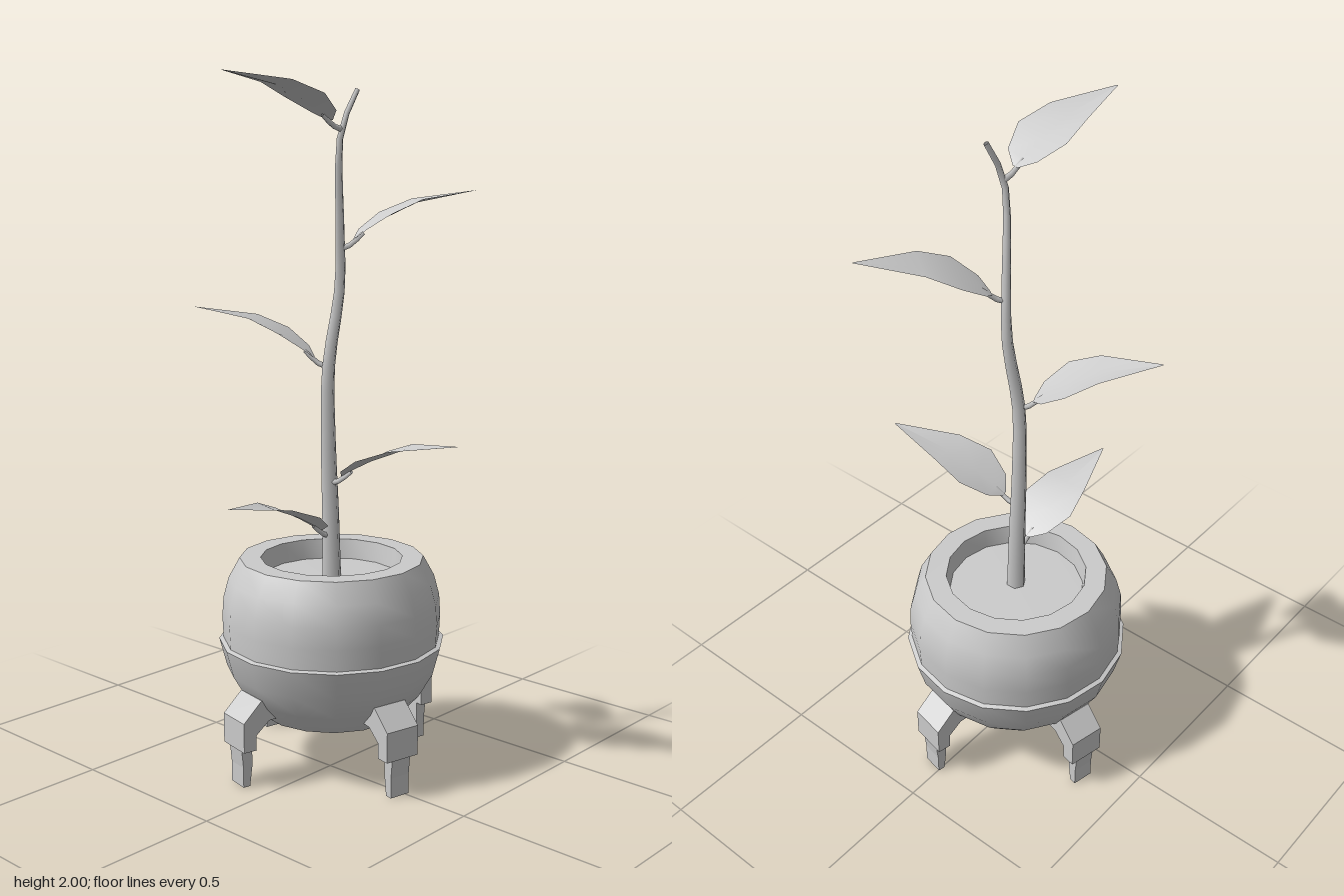
import * as THREE from 'three';
import { toCreasedNormals } from 'three/addons/utils/BufferGeometryUtils.js';

const grey = new THREE.MeshStandardMaterial({ color: 0xcccccc });
const greyThin = new THREE.MeshStandardMaterial({ color: 0xcccccc, side: THREE.DoubleSide });

function part(name, geometry, material = grey) {
  const mesh = new THREE.Mesh(geometry, material);
  mesh.name = name;
  return mesh;
}

// Sixteen-sided turned part from [radius, height] pairs
function turned(profile) {
  const geo = new THREE.LatheGeometry(profile.map(([r, y]) => new THREE.Vector2(r, y)), 16);
  return toCreasedNormals(geo, 0.5);
}

// Side outline of [radius, height] pairs, extruded to a width and centred
function slab(outline, width) {
  const shape = new THREE.Shape(outline.map(([r, y]) => new THREE.Vector2(r, y)));
  return new THREE.ExtrudeGeometry(shape, { depth: width, bevelEnabled: false }).translate(0, 0, -width / 2);
}

// Tube whose radius runs evenly from r0 to r1
function taperedTube(points, segments, sides, r0, r1) {
  const path = new THREE.CatmullRomCurve3(points);
  const geo = new THREE.TubeGeometry(path, segments, 1, sides);
  const pos = geo.attributes.position;
  const v = new THREE.Vector3();
  for (let i = 0; i < pos.count; i++) {
    const t = Math.floor(i / (sides + 1)) / segments;
    const c = path.getPointAt(t);
    v.fromBufferAttribute(pos, i).sub(c).multiplyScalar(r0 + (r1 - r0) * t).add(c);
    pos.setXYZ(i, v.x, v.y, v.z);
  }
  return geo;
}

// Arched leaf with a shallow fold along the midrib, and its stalk
function makeLeaf(name, base, tip) {
  const leaf = new THREE.Group();
  leaf.name = name;
  const a = new THREE.Vector3(...base);
  const d = new THREE.Vector3(...tip).sub(a);
  const side = new THREE.Vector3(d.z, 0, -d.x).normalize();
  const at = (t, rise) => new THREE.Vector3(a.x + d.x * t, a.y + d.y * rise, a.z + d.z * t);
  // along, half width, rise, edge lift
  const rows = [
    [0.1, 0.01, 0.17, 0], [0.16, 0.055, 0.28, 0.008], [0.33, 0.09, 0.53, 0.014],
    [0.56, 0.069, 0.79, 0.01], [1, 0.002, 1, 0],
  ];
  const verts = [], faces = [];
  rows.forEach(([t, w, rise, lift], i) => {
    for (const s of [-1, 0, 1]) {
      const p = at(t, rise).addScaledVector(side, s * w);
      verts.push(p.x, p.y + Math.abs(s) * lift, p.z);
    }
    if (i === 0) return;
    for (let j = 0; j < 2; j++) {
      const k = (i - 1) * 3 + j;
      faces.push(k, k + 3, k + 1, k + 1, k + 3, k + 4);
    }
  });
  const blade = new THREE.BufferGeometry();
  blade.setAttribute('position', new THREE.Float32BufferAttribute(verts, 3));
  blade.setIndex(faces);
  blade.computeVertexNormals();
  leaf.add(part('leafBlade', blade, greyThin));
  leaf.add(part('leafStalk', taperedTube([at(0, 0), at(0.07, 0.06), at(0.17, 0.27)], 3, 5, 0.009, 0.006), greyThin));
  return leaf;
}

export function createModel() {
  const model = new THREE.Group();
  model.name = 'pottedPlant';

  const planter = new THREE.Group();
  planter.name = 'planter';
  planter.position.set(-0.04, 0, -0.05);
  model.add(planter);

  // Round pot with an overlapping lower bowl
  planter.add(part('pot', turned([
    [0, 0.165], [0.215, 0.165], [0.272, 0.23], [0.313, 0.3], [0.335, 0.383], [0.322, 0.387],
    [0.325, 0.45], [0.321, 0.51], [0.305, 0.57], [0.272, 0.63], [0.21, 0.63], [0.2, 0.56],
  ])));
  planter.add(part('soil', turned([[0.203, 0.57], [0, 0.575]])));

  // Stepped ring underneath with a recessed centre
  planter.add(part('baseRing', turned([
    [0, 0.155], [0.08, 0.155], [0.085, 0.13], [0.115, 0.13], [0.12, 0.147], [0.143, 0.15], [0.147, 0.17],
  ])));

  // Four bent legs, each a wide bracket with a narrow foot
  const bracket = slab([
    [0.2, 0.2], [0.26, 0.195], [0.303, 0.16], [0.303, 0.115], [0.345, 0.115],
    [0.345, 0.203], [0.285, 0.26], [0.22, 0.26],
  ], 0.11);
  const foot = slab([[0.312, 0], [0.334, 0], [0.334, 0.06], [0.34, 0.12], [0.304, 0.12], [0.304, 0.06]], 0.064);
  for (let i = 0; i < 4; i++) {
    const leg = new THREE.Group();
    leg.name = 'leg';
    leg.rotation.y = -0.21 + i * Math.PI / 2;
    leg.add(part('legBracket', bracket), part('foot', foot));
    planter.add(leg);
  }

  // Slightly crooked stem
  const stem = [
    [-0.032, 0.56, -0.042], [-0.03, 0.75, -0.035], [-0.027, 1.0, -0.021], [-0.02, 1.2, -0.015],
    [0.004, 1.43, -0.036], [0.02, 1.6, -0.018], [0.042, 1.8, 0.01], [0.05, 1.87, 0.006], [0.068, 1.968, -0.036],
  ].map((p) => new THREE.Vector3(...p));
  model.add(part('stem', taperedTube(stem, 20, 6, 0.029, 0.007), greyThin));

  // Leaves spiralling up the stem: base, tip
  [
    [[-0.03, 0.7, -0.03], [-0.037, 0.845, 0.37]],
    [[-0.02, 0.86, -0.025], [0.385, 1.007, -0.1]],
    [[-0.022, 1.2, -0.012], [-0.34, 1.367, 0.205]],
    [[0.015, 1.535, -0.025], [0.255, 1.697, -0.337]],
    [[0.048, 1.86, 0.006], [-0.01, 2.0, 0.398]],
  ].forEach(([base, tip], i) => model.add(makeLeaf('leaf' + (i + 1), base, tip)));

  return model;
}
